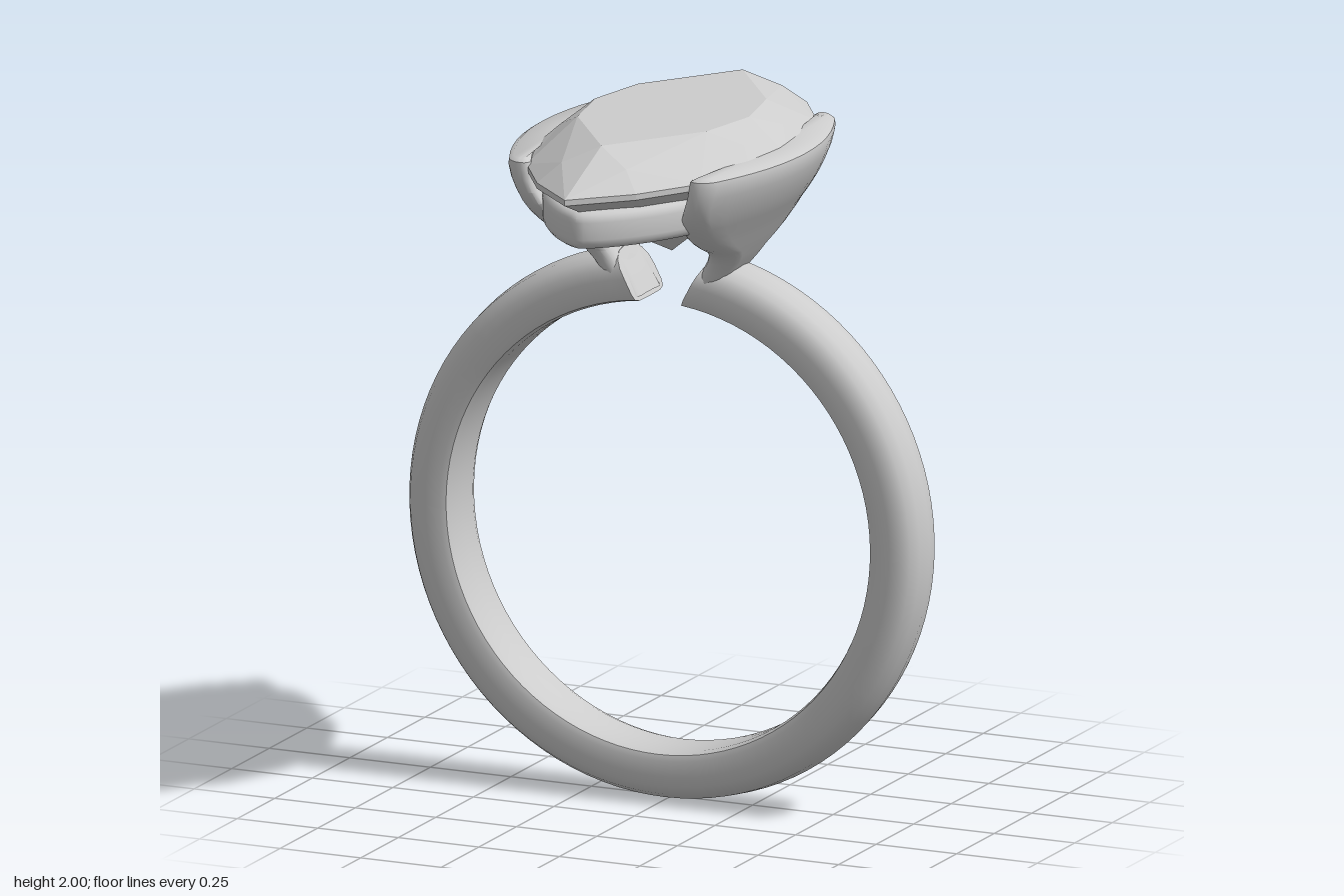
import * as THREE from 'three';
import { toCreasedNormals } from 'three/addons/utils/BufferGeometryUtils.js';

const silver = new THREE.MeshStandardMaterial({ color: 0xcccccc });
silver.name = 'silver';

// Flat-normal geometry from triangles, turned outwards if the volume is negative
function fromTriangles(tris) {
  let volume = 0;
  for (const [a, b, c] of tris) volume += a.dot(new THREE.Vector3().crossVectors(b, c));
  const pts = tris.flatMap(([a, b, c]) => (volume < 0 ? [a, c, b] : [a, b, c]));
  const geo = new THREE.BufferGeometry().setFromPoints(pts);
  geo.computeVertexNormals();
  return geo;
}

// Skin closed loops of equal length and cap both ends
function loft(loops) {
  const tris = [];
  const n = loops[0].length;
  for (let i = 0; i < loops.length - 1; i++) {
    for (let j = 0; j < n; j++) {
      const k = (j + 1) % n;
      const [a, b, c, d] = [loops[i][j], loops[i][k], loops[i + 1][k], loops[i + 1][j]];
      tris.push([a, b, c], [a, c, d]);
    }
  }
  const cap = (loop, flip) => {
    const mid = loop.reduce((s, p) => s.add(p), new THREE.Vector3()).divideScalar(n);
    loop.forEach((p, j) => {
      const q = loop[(j + 1) % n];
      tris.push(flip ? [mid, q, p] : [mid, p, q]);
    });
  };
  cap(loops[0], true);
  cap(loops[loops.length - 1], false);
  return toCreasedNormals(fromTriangles(tris), 0.7);
}

function mesh(name, geometry) {
  const m = new THREE.Mesh(geometry, silver);
  m.name = name;
  return m;
}

// Open band: D-shaped section swept round, with slanted ends at the top
function bandGeometry() {
  const half = [[0.65, 0], [0.651, 0.07], [0.658, 0.093], [0.675, 0.1], [0.72, 0.1],
    [0.75, 0.096], [0.775, 0.08], [0.792, 0.05], [0.8, 0]];
  const section = [...half, ...half.slice(1, -1).reverse().map(([r, z]) => [r, -z])];
  const loops = [];
  const steps = 96;
  for (let i = 0; i <= steps; i++) {
    loops.push(section.map(([r, z]) => {
      const gap = THREE.MathUtils.degToRad(6 + ((r - 0.65) / 0.15) * 4.5);
      const a = gap + (i / steps) * (Math.PI * 2 - 2 * gap);
      return new THREE.Vector3(r * Math.sin(a), 0.8 + r * Math.cos(a), z);
    }));
  }
  return loft(loops);
}

// Prong: bowed horizontal slices that widen from the band to the lip
function prongGeometry(side) {
  // height, outer x, inner x, half width
  const levels = [
    [1.46, 0.14, 0.07, 0.092], [1.5, 0.175, 0.093, 0.095], [1.555, 0.212, 0.128, 0.1],
    [1.59, 0.24, 0.151, 0.113], [1.615, 0.256, 0.167, 0.132], [1.635, 0.27, 0.182, 0.165],
    [1.66, 0.286, 0.2, 0.225], [1.69, 0.306, 0.222, 0.285], [1.72, 0.325, 0.244, 0.333],
    [1.755, 0.35, 0.27, 0.38], [1.79, 0.372, 0.298, 0.41], [1.825, 0.39, 0.32, 0.424],
    [1.86, 0.405, 0.336, 0.43], [1.895, 0.414, 0.34, 0.43], [1.911, 0.412, 0.344, 0.427],
    [1.92, 0.398, 0.358, 0.412]];
  const loops = levels.map(([y, xo, xi, w]) => {
    const h = (xo - xi) / 2;
    const mid = (xo + xi) / 2;
    const loop = [];
    const add = (x, z) => loop.push(new THREE.Vector3(side * (mid + x - 0.58 * z * z), y, z));
    for (const s of [1, -1]) {
      for (let i = 0; i <= 12; i++) add(s * h, s * (w - h) * (i / 6 - 1));
      for (let i = 1; i < 8; i++) {
        const a = (i / 8) * Math.PI;
        add(s * h * Math.cos(a), s * (w - h + h * Math.sin(a)));
      }
    }
    return loop;
  });
  return loft(loops);
}

// Gallery rail: bevelled pointed-oval ring under the stone
function railGeometry() {
  const outline = (a, l) => {
    const pts = [];
    for (let i = 0; i < 64; i++) {
      const t = (i / 64) * Math.PI * 2;
      const c = Math.cos(t);
      pts.push(new THREE.Vector2(a * Math.sign(c) * Math.abs(c) ** 1.5, l * Math.sin(t)));
    }
    return pts;
  };
  const shape = new THREE.Shape(outline(0.28, 0.61));
  shape.holes.push(new THREE.Path(outline(0.25, 0.57)));
  const geo = new THREE.ExtrudeGeometry(shape, {
    depth: 0.05, bevelThickness: 0.03, bevelSize: 0.03, bevelSegments: 4 });
  geo.rotateX(-Math.PI / 2).translate(0, 1.765, 0);
  return toCreasedNormals(geo, 0.7);
}

// Marquise stone: table, star, kite and girdle facets above a pointed pavilion
function stoneGeometry() {
  const L = 0.715, W = 0.36;
  const R = (L * L + W * W) / (2 * W);
  const width = (z) => Math.max(0, Math.sqrt(R * R - z * z) - (R - W));
  // Mirror one quadrant (from +x round to +z) into a full ring
  const ring = (quarter, y) => {
    const all = [...quarter];
    const mirrorX = [...quarter].reverse().filter(([x]) => x > 0).map(([x, z]) => [-x, z]);
    all.push(...mirrorX);
    all.push(...[...all].reverse().filter(([, z]) => z > 0).map(([x, z]) => [x, -z]));
    return all.map(([x, z]) => new THREE.Vector3(x, y, z));
  };
  const rim = [0, 0.2, 0.39, 0.57, L].map((z) => [z === L ? 0 : width(z), z]);
  const table = ring([[0.24, 0], [0.2, 0.2], [0, 0.47]], 2);
  const middle = ring([[0.285, 0.13], [0.1, 0.52]], 1.953);
  const upper = ring(rim, 1.899);
  const lower = ring(rim, 1.882);
  const culet = new THREE.Vector3(0, 1.585, 0);
  const centre = new THREE.Vector3(0, 2, 0);
  const tris = [];
  for (let i = 0; i < 8; i++) {
    const next = (i + 1) % 8;
    const [t0, t1, m, prev] = [table[i], table[next], middle[i], middle[(i + 7) % 8]];
    const [g0, g1, g2] = [upper[2 * i], upper[2 * i + 1], upper[2 * next]];
    tris.push([centre, t0, t1], [t0, m, t1]);
    tris.push([t0, prev, g0], [t0, g0, m]);
    tris.push([m, g0, g1], [m, g1, g2]);
  }
  for (let i = 0; i < 16; i++) {
    const k = (i + 1) % 16;
    tris.push([upper[i], lower[i], lower[k]], [upper[i], lower[k], upper[k]]);
    tris.push([lower[i], culet, lower[k]]);
  }
  return fromTriangles(tris);
}

export function createModel() {
  const ring = new THREE.Group();
  ring.name = 'ring';
  ring.add(
    mesh('band', bandGeometry()),
    mesh('leftProng', prongGeometry(1)),
    mesh('rightProng', prongGeometry(-1)),
    mesh('galleryRail', railGeometry()),
    mesh('stone', stoneGeometry()),
  );
  return ring;
}
